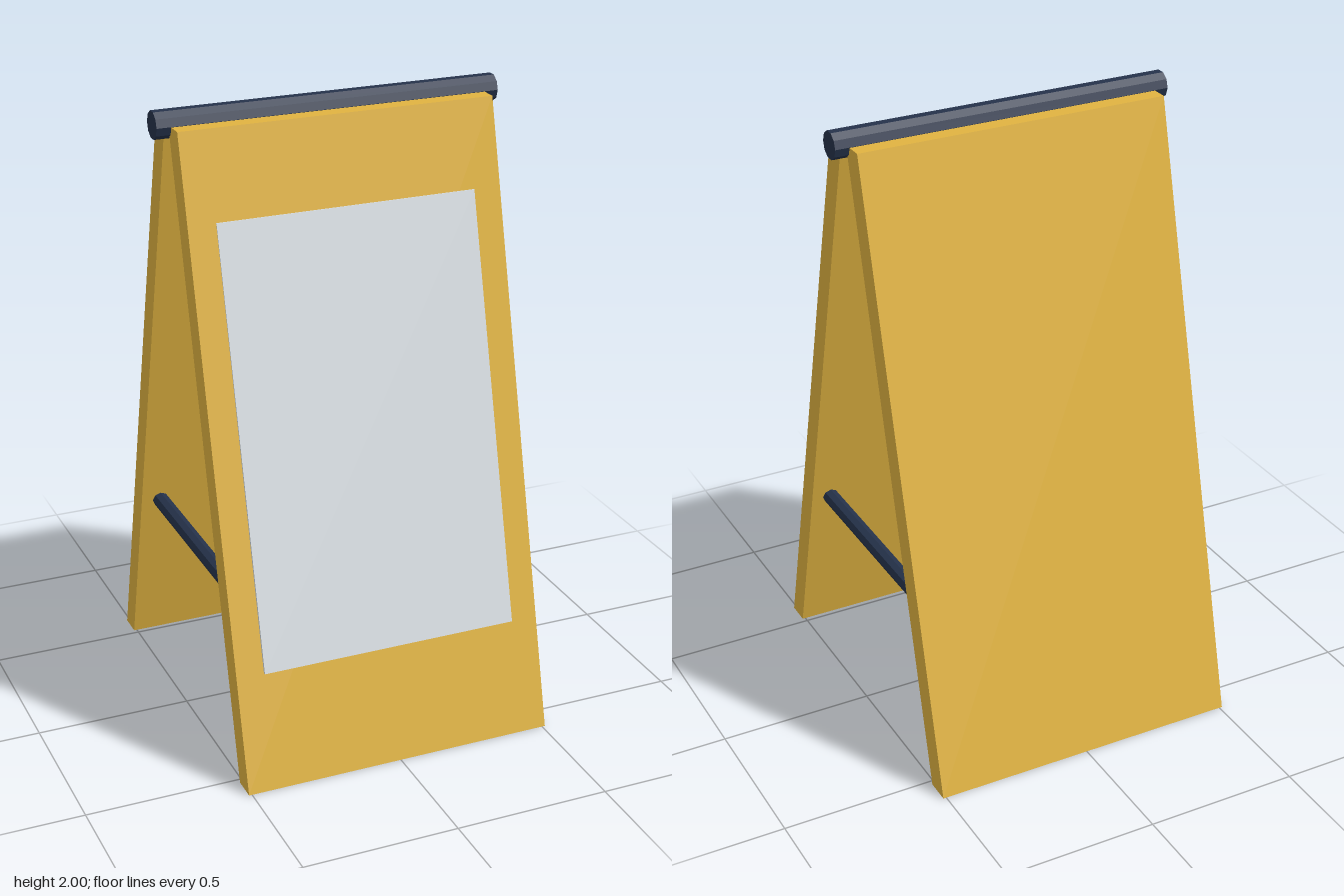
import * as THREE from 'three';

const mat = (name, color, extra = {}) => {
  const m = new THREE.MeshStandardMaterial({ color, ...extra });
  m.name = name;
  return m;
};

const TOP = 1.957;
const outerZ = y => 0.595 - 0.5 * y / TOP; // outer face of the front panel

// Extrudes a [z, y] side profile along x, centred on x = 0
function sideExtrude(points, width) {
  const shape = new THREE.Shape(points.map(([z, y]) => new THREE.Vector2(-z, y)));
  const g = new THREE.ExtrudeGeometry(shape, { depth: width, bevelEnabled: false });
  g.translate(0, 0, -width / 2);
  g.rotateY(Math.PI / 2);
  return g;
}

export function createModel() {
  const group = new THREE.Group();
  const yellow = mat('yellow board', 0xe0b341);
  const navy = mat('navy bar', 0x25324a, { flatShading: true });
  const pale = mat('pale poster', 0xd8dee2);
  const add = (name, geometry, material) => {
    const mesh = new THREE.Mesh(geometry, material);
    mesh.name = name;
    group.add(mesh);
    return mesh;
  };

  // Leaning panels, cut level at the top and the bottom
  const t = 0.078;
  for (const [name, s] of [['frontPanel', 1], ['backPanel', -1]]) {
    const profile = [[0.595, 0], [0.595 - t, 0], [0.095 - t, TOP], [0.095, TOP]];
    add(name, sideExtrude(profile.map(([z, y]) => [s * z, y]), 1.02), yellow);
  }

  // Thin poster on the front panel, standing out slightly more at its foot
  const lo = 0.36, hi = 1.69;
  add('poster', sideExtrude([
    [outerZ(lo) + 0.009, lo], [outerZ(lo) - 0.002, lo],
    [outerZ(hi) - 0.002, hi], [outerZ(hi) + 0.003, hi],
  ], 0.842), pale);

  // Hinge bar along the ridge
  const hinge = new THREE.CylinderGeometry(0.0435, 0.0435, 1.11, 10);
  hinge.rotateZ(Math.PI / 2);
  add('hingeBar', hinge, navy).position.y = 1.958;

  // Spreader bars between the panels
  for (const [name, s] of [['leftSpreader', 1], ['rightSpreader', -1]]) {
    const bar = new THREE.CylinderGeometry(0.026, 0.026, 0.8, 8);
    bar.rotateX(Math.PI / 2);
    add(name, bar, navy).position.set(s * 0.445, 0.56, 0);
  }
  return group;
}
